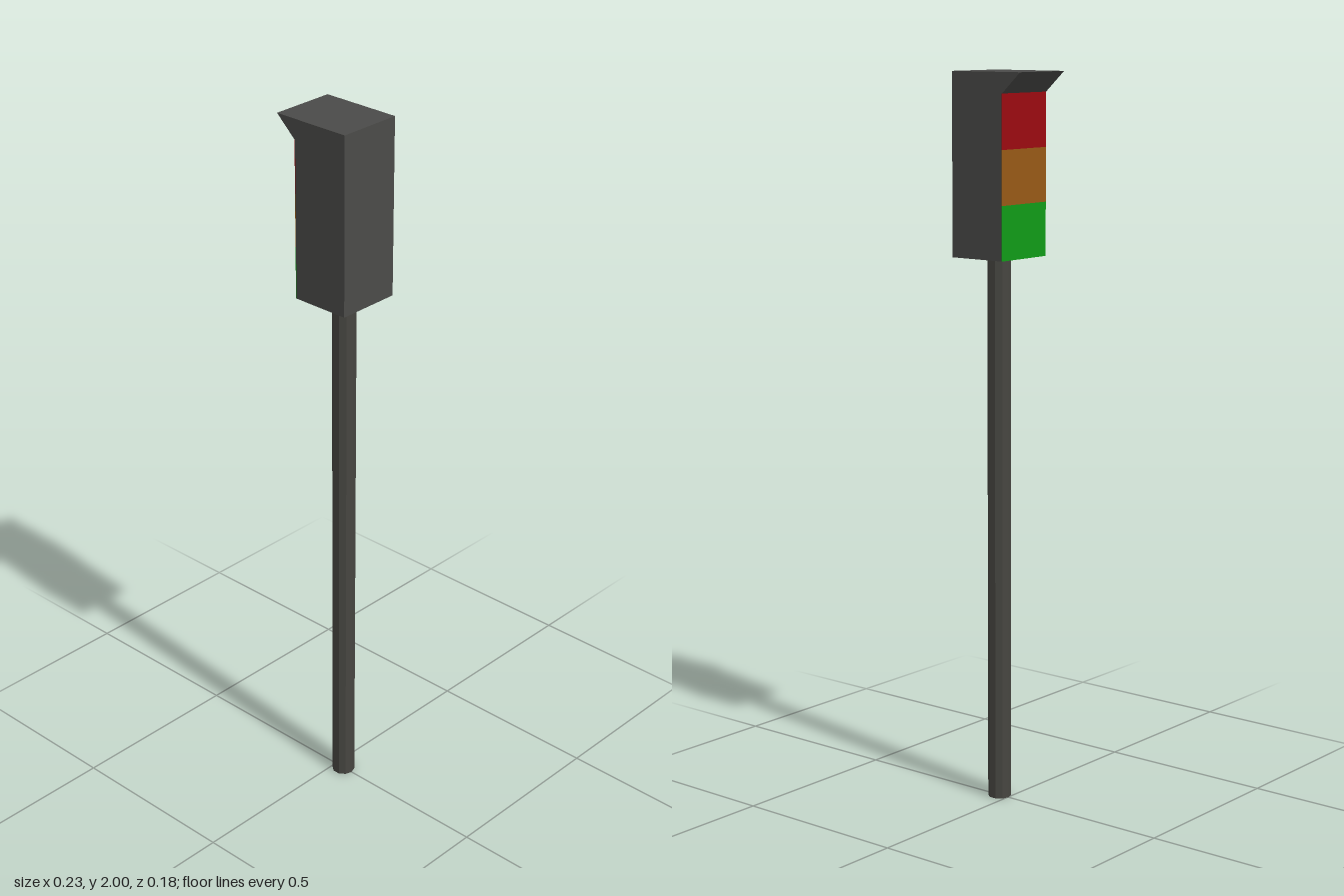
import * as THREE from 'three';

const DEPTH = 0.184;          // z size of the signal head
const LEFT = 0.115, FACE = -0.055, BASE = 1.51, VISOR_Y = 1.945, TOP = 2;

function part(name, geometry, color) {
  const mesh = new THREE.Mesh(geometry, new THREE.MeshStandardMaterial({ color, flatShading: true }));
  mesh.name = name;
  return mesh;
}

// Box given by its x and y limits, centred on z = 0
function block(name, x0, x1, y0, y1, color) {
  const mesh = part(name, new THREE.BoxGeometry(x1 - x0, y1 - y0, DEPTH), color);
  mesh.position.set((x0 + x1) / 2, (y0 + y1) / 2, 0);
  return mesh;
}

export function createModel() {
  const model = new THREE.Group();
  model.name = 'trafficLight';
  const dark = 0x4b4b49;

  // Ten-sided pole, corners on the x axis
  const pole = part('pole', new THREE.CylinderGeometry(0.032, 0.032, BASE, 10, 1, false, Math.PI / 2), 0x474641);
  pole.position.set(0.03, BASE / 2, 0);
  model.add(pole);

  // Signal head
  const lensDepth = 0.002;
  model.add(block('housing', FACE + lensDepth, LEFT, BASE, TOP, dark));

  // Wedge visor overhanging the lights
  const profile = new THREE.Shape([
    new THREE.Vector2(FACE + lensDepth, VISOR_Y),
    new THREE.Vector2(FACE + lensDepth, TOP),
    new THREE.Vector2(-LEFT, TOP),
    new THREE.Vector2(FACE, VISOR_Y),
  ]);
  const visorGeometry = new THREE.ExtrudeGeometry(profile, { depth: DEPTH, bevelEnabled: false });
  visorGeometry.translate(0, 0, -DEPTH / 2);
  model.add(part('visor', visorGeometry, dark));

  // Three stacked light panels on the -x face
  const step = (VISOR_Y - BASE) / 3;
  [['greenLight', 0x109c18], ['amberLight', 0x985a16], ['redLight', 0x9c0a10]].forEach(([name, color], i) => {
    model.add(block(name, FACE, FACE + lensDepth, BASE + i * step, BASE + (i + 1) * step, color));
  });

  return model;
}
